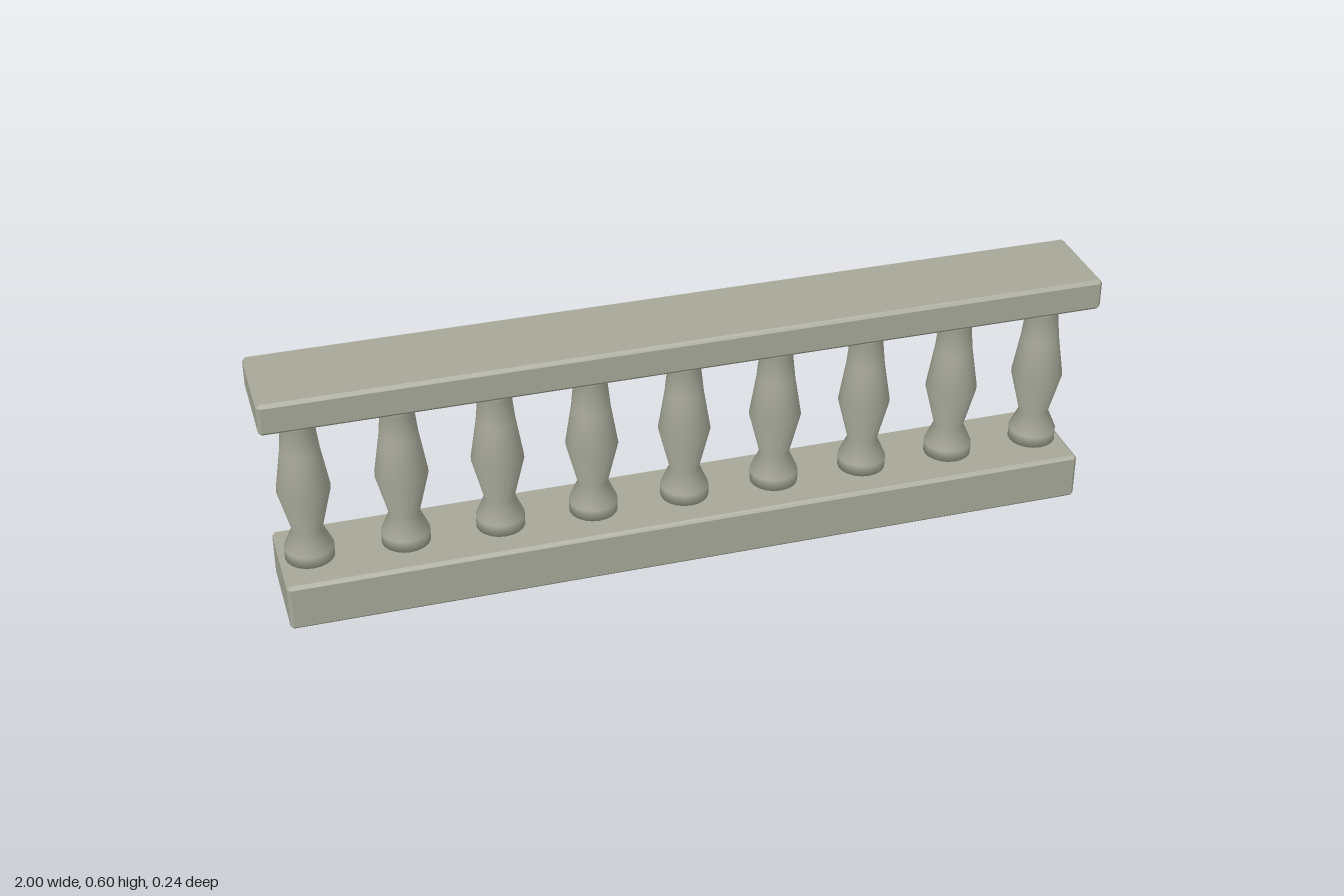
import * as THREE from 'three';
import { ConvexGeometry } from 'three/addons/geometries/ConvexGeometry.js';

const COUNT = 9, SPACING = 0.226, CHAMFER = 0.008;

// Box with every edge cut at 45 degrees: three points at each corner
function chamferedBox(w, h, d, c) {
  const x = w / 2, y = h / 2, z = d / 2, points = [];
  for (const sx of [-1, 1]) for (const sy of [-1, 1]) for (const sz of [-1, 1]) {
    points.push(
      new THREE.Vector3(sx * x, sy * (y - c), sz * (z - c)),
      new THREE.Vector3(sx * (x - c), sy * y, sz * (z - c)),
      new THREE.Vector3(sx * (x - c), sy * (y - c), sz * z));
  }
  return new ConvexGeometry(points);
}

export function createModel() {
  const group = new THREE.Group();
  group.name = 'balustrade';
  const stone = new THREE.MeshStandardMaterial({ color: 0xa6a798 });
  stone.name = 'stone';

  const add = (name, geometry, x, y) => {
    const mesh = new THREE.Mesh(geometry, stone);
    mesh.name = name;
    mesh.position.set(x, y, 0);
    group.add(mesh);
  };

  // Plinth and handrail
  add('plinth', chamferedBox(1.952, 0.118, 0.244, CHAMFER), 0, 0.059);
  add('handrail', chamferedBox(2, 0.078, 0.23, CHAMFER), 0, 0.563);

  // Turned balusters: foot, neck, belly, taper and flared cap
  const profile = [
    [0, 0.117], [0.058, 0.117], [0.058, 0.147], [0.036, 0.197], [0.0625, 0.304],
    [0.046, 0.407], [0.039, 0.475], [0.061, 0.525], [0, 0.525],
  ].map(([r, y]) => new THREE.Vector2(r, y));
  const baluster = new THREE.LatheGeometry(profile, 20);
  for (let i = 0; i < COUNT; i++) {
    add(`baluster${i + 1}`, baluster, (i - (COUNT - 1) / 2) * SPACING, 0);
  }
  return group;
}
